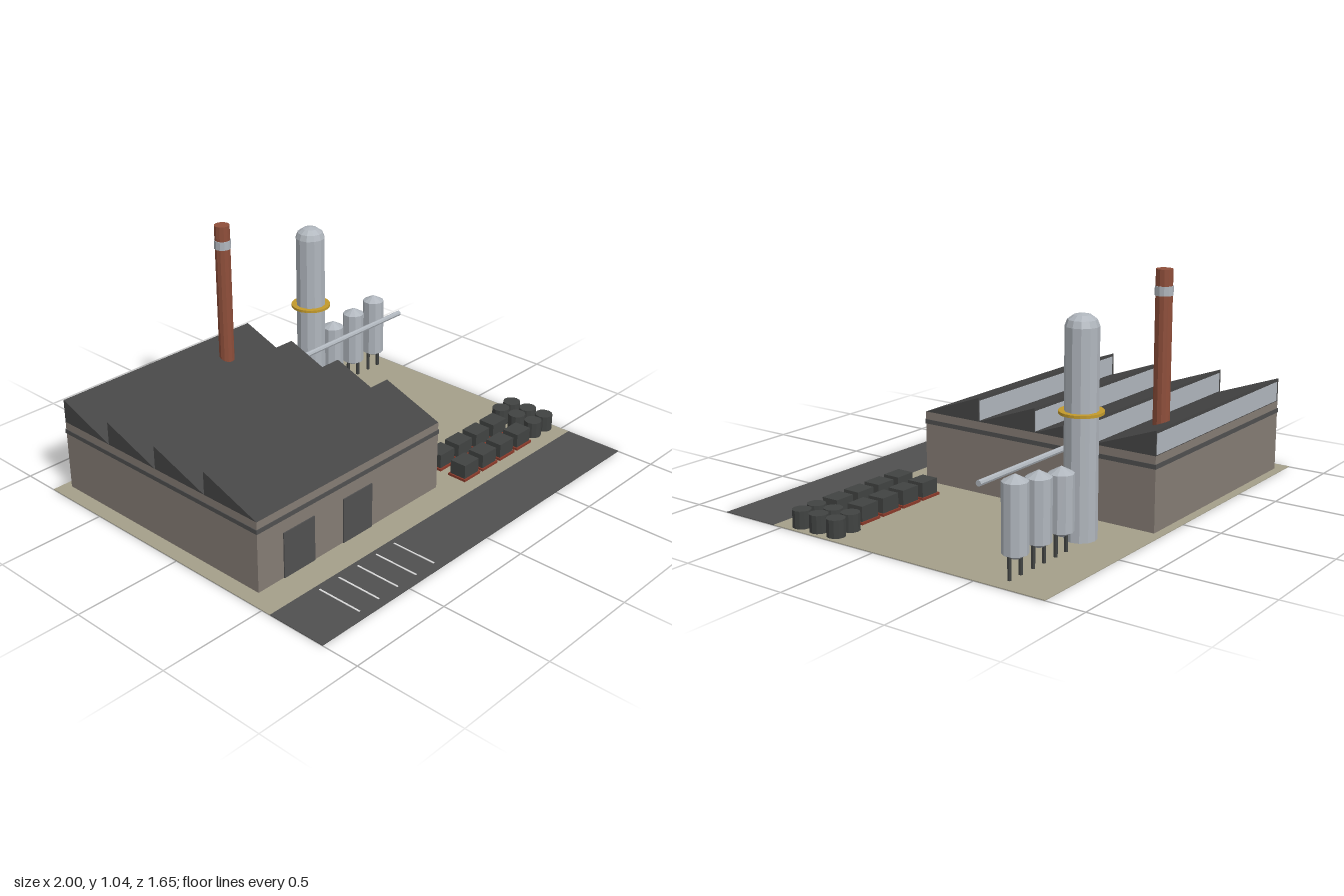
import * as THREE from 'three';

const material = (name, color) => {
  const m = new THREE.MeshStandardMaterial({ color, flatShading: true });
  m.name = name;
  return m;
};

export function createModel() {
  const root = new THREE.Group();
  root.name = 'factory';

  const ground = material('packed ground', 0xa49f8a);
  const asphalt = material('asphalt grey', 0x505050);
  const roofing = material('roof grey', 0x454545);
  const plaster = material('wall taupe', 0x857c74);
  const steel = material('pale steel', 0xb0b6bd);
  const brick = material('brick red', 0x8f4f3b);
  const yellow = material('safety yellow', 0xc29a2c);
  const rust = material('pallet rust', 0x8a3a2a);
  const dark = material('charcoal', 0x414342);
  const white = material('line white', 0xd8d8d8);

  const add = (name, geometry, mat, x = 0, y = 0, z = 0, parent = root) => {
    const mesh = new THREE.Mesh(geometry, mat);
    mesh.name = name;
    mesh.position.set(x, y, z);
    parent.add(mesh);
    return mesh;
  };
  // Box given by its minimum and maximum corners
  const box = (name, mat, x0, x1, y0, y1, z0, z1, parent) =>
    add(name, new THREE.BoxGeometry(x1 - x0, y1 - y0, z1 - z0), mat,
      (x0 + x1) / 2, (y0 + y1) / 2, (z0 + z1) / 2, parent);
  // Upright cylinder or cone standing between two heights
  const drum = (name, mat, rBottom, rTop, y0, y1, x, z, sides, parent) =>
    add(name, new THREE.CylinderGeometry(rTop, rBottom, y1 - y0, sides), mat,
      x, (y0 + y1) / 2, z, parent);
  const group = (name) => {
    const g = new THREE.Group();
    g.name = name;
    root.add(g);
    return g;
  };

  // Yard, road and parking lines
  box('yard', ground, -1, 1, 0, 0.003, -0.825, 0.545);
  box('road', asphalt, -1, 1, 0, 0.003, 0.545, 0.825);
  for (let i = 0; i < 5; i++) {
    const x = -0.75 + i * 0.1125;
    box('parkingLine', white, x - 0.004, x + 0.004, 0.003, 0.005, 0.57, 0.785);
  }

  // Hall walls, trim band and doors
  const left = -0.93, right = 0.17, back = -0.785, front = 0.41, eaves = 0.33;
  const hall = group('hall');
  box('walls', plaster, left, right, 0.002, eaves, back, front, hall);
  box('trimBand', asphalt, left - 0.003, right + 0.003, 0.275, 0.295, back - 0.003, front + 0.003, hall);
  for (const x of [-0.7, -0.353]) {
    box('door', asphalt, x - 0.088, x + 0.088, 0.003, 0.215, front, front + 0.005, hall);
  }

  // Sawtooth roof, each tooth with a glazed back face
  const step = (front - back) / 4;
  const profile = new THREE.Shape();
  profile.moveTo(0, 0);
  profile.lineTo(step, 0);
  profile.lineTo(step, 0.107);
  const tooth = new THREE.ExtrudeGeometry(profile, { depth: right - left, bevelEnabled: false });
  tooth.rotateY(Math.PI / 2);
  for (let i = 0; i < 4; i++) {
    const z = front - i * step;
    add('roofTooth', tooth, roofing, left, eaves, z, hall);
    box('roofGlazing', steel, left + 0.015, right - 0.005, eaves + 0.004, eaves + 0.093,
      z - step - 0.002, z - step, hall);
  }

  // Brick chimney
  const chimney = group('chimney');
  drum('stack', brick, 0.036, 0.036, 0.33, 1.045, -0.09, -0.655, 12, chimney);
  drum('stackBand', steel, 0.039, 0.039, 0.935, 0.975, -0.09, -0.655, 12, chimney);

  // Tall tower with a domed top and a walkway ring
  const tower = group('tower');
  const outline = [[0, 0.002], [0.07, 0.002], [0.07, 0.875], [0.06, 0.902], [0.035, 0.92], [0, 0.927]];
  add('towerShell', new THREE.LatheGeometry(outline.map(([r, y]) => new THREE.Vector2(r, y)), 12),
    steel, 0.388, 0, -0.57, tower);
  drum('walkway', yellow, 0.093, 0.093, 0.524, 0.536, 0.388, -0.57, 24, tower);

  // Three silos on legs, rising in height
  for (let i = 0; i < 3; i++) {
    const silo = group('silo');
    const x = 0.585 + i * 0.151, z = -0.61, top = 0.335 + i * 0.023;
    drum('siloBody', steel, 0.053, 0.053, 0.1, top, x, z, 10, silo);
    drum('siloRoof', steel, 0.053, 0, top, top + 0.029, x, z, 10, silo);
    drum('siloHopper', steel, 0.022, 0.05, 0.082, 0.1, x, z, 10, silo);
    for (const side of [-1, 1]) {
      drum('siloLeg', dark, 0.009, 0.009, 0.002, 0.1, x + side * 0.036, z, 6, silo);
    }
  }

  // Pipe running from the hall past the silos
  const pipe = add('pipe', new THREE.CylinderGeometry(0.013, 0.013, 0.75, 8), steel, 0.535, 0.348, -0.457);
  pipe.rotation.z = Math.PI / 2;

  // Crates on pallets
  for (const z of [0.29, 0.43]) {
    for (let i = 0; i < 4; i++) {
      const x = 0.345 + i * 0.13;
      box('pallet', rust, x - 0.056, x + 0.056, 0.002, 0.014, z - 0.048, z + 0.048);
      box('crate', dark, x - 0.049, x + 0.049, 0.014, 0.08, z - 0.041, z + 0.041);
    }
  }

  // Barrels
  for (const x of [0.858, 0.945]) {
    for (const z of [0.245, 0.34, 0.435]) {
      drum('barrel', dark, 0.041, 0.041, 0.002, 0.08, x, z, 12);
    }
  }

  return root;
}
